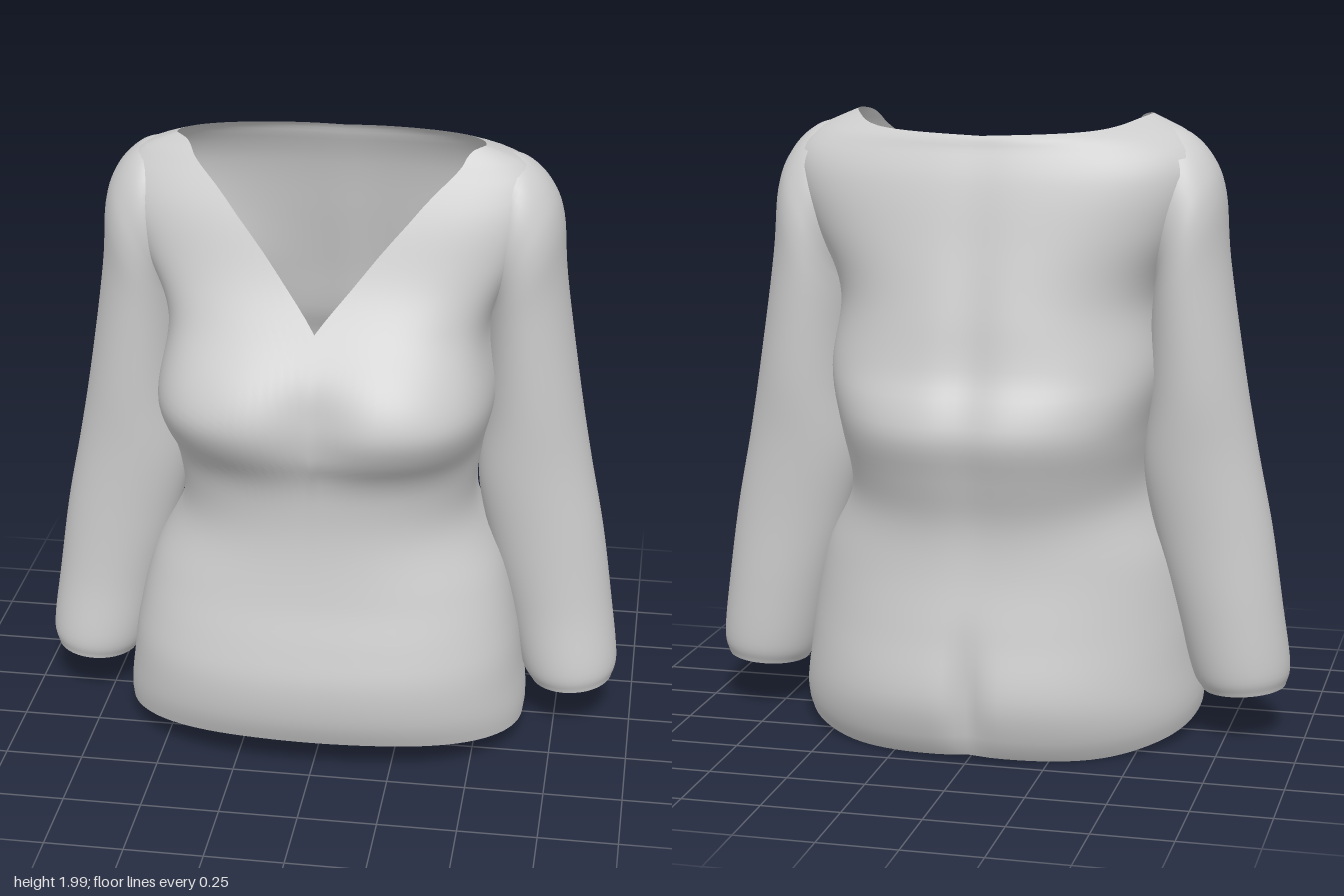
import * as THREE from 'three';

const cloth = new THREE.MeshStandardMaterial({ color: 0xcccccc, side: THREE.DoubleSide });
cloth.name = 'greyCloth';

// Smooth 1D curve through [key, value] pairs (cubic Hermite)
function curve(pts) {
  const slope = i => {
    const a = pts[Math.max(i - 1, 0)], b = pts[Math.min(i + 1, pts.length - 1)];
    return (b[1] - a[1]) / (b[0] - a[0]);
  };
  return k => {
    k = THREE.MathUtils.clamp(k, pts[0][0], pts[pts.length - 1][0]);
    let i = 0;
    while (i < pts.length - 2 && k > pts[i + 1][0]) i++;
    const [k0, v0] = pts[i], [k1, v1] = pts[i + 1], h = k1 - k0, t = (k - k0) / h;
    const t2 = t * t, t3 = t2 * t;
    return (2 * t3 - 3 * t2 + 1) * v0 + (t3 - 2 * t2 + t) * h * slope(i)
      + (3 * t2 - 2 * t3) * v1 + (t3 - t2) * h * slope(i + 1);
  };
}

// Open tube of closed rings: point(angle, t) -> [x, y, z]; faces wholly in the hole are left out
function loft(name, point, sides, rows, inHole, flip = false) {
  const pts = [], idx = [];
  for (let r = 0; r <= rows; r++)
    for (let s = 0; s < sides; s++) pts.push(point(s / sides * Math.PI * 2, r / rows));
  const hidden = pts.map(p => inHole(...p));
  for (let r = 0; r < rows; r++)
    for (let s = 0; s < sides; s++) {
      const n = (s + 1) % sides;
      const a = r * sides + s, b = r * sides + n, c = a + sides, d = b + sides;
      if (hidden[a] && hidden[b] && hidden[c] && hidden[d]) continue;
      if (flip) idx.push(a, c, b, b, c, d);
      else idx.push(a, b, c, b, d, c);
    }
  const g = new THREE.BufferGeometry();
  g.setAttribute('position', new THREE.Float32BufferAttribute(pts.flat(), 3));
  g.setIndex(idx);
  g.computeVertexNormals();
  const mesh = new THREE.Mesh(g, cloth);
  mesh.name = name;
  return mesh;
}

// Body profiles by height
const halfWidth = curve([[0, 0.63], [0.1, 0.655], [0.25, 0.64], [0.4, 0.62], [0.6, 0.57], [0.8, 0.475],
  [1, 0.49], [1.2, 0.53], [1.4, 0.505], [1.5, 0.525], [1.65, 0.6], [1.78, 0.65], [1.88, 0.65],
  [1.94, 0.595], [1.97, 0.535], [2, 0.465]]);
const frontZ = curve([[0, 0.42], [0.1, 0.475], [0.2, 0.515], [0.33, 0.525], [0.45, 0.5], [0.6, 0.46],
  [0.8, 0.43], [0.95, 0.435], [1.03, 0.46], [1.11, 0.515], [1.2, 0.548], [1.28, 0.53], [1.36, 0.48],
  [1.47, 0.38], [1.6, 0.29], [1.8, 0.205], [1.93, 0.14], [2, 0.1]]);
const backZ = curve([[0, -0.45], [0.06, -0.49], [0.2, -0.525], [0.4, -0.49], [0.6, -0.455], [0.75, -0.455],
  [0.9, -0.5], [1.03, -0.54], [1.12, -0.52], [1.22, -0.475], [1.4, -0.435], [1.6, -0.385],
  [1.8, -0.335], [1.9, -0.295], [1.95, -0.265], [2, -0.13]]);
const midZ = curve([[0, 0.07], [0.35, 0.07], [0.6, 0.04], [0.9, 0], [1.3, -0.02], [1.8, -0.02],
  [1.9, -0.01], [2, 0.04]]);
// Squareness of the front and back halves (2 is an ellipse)
const frontPower = curve([[0, 2.5], [0.4, 2.5], [0.95, 2.5], [1.2, 3.2], [1.45, 2.9], [1.8, 3], [2, 2.1]]);
const backPower = curve([[0, 2.2], [0.6, 2.2], [1.03, 2.5], [1.4, 2.3], [1.8, 2.4], [2, 1.9]]);
// Hem and neckline heights by angle from the front, in degrees
const hemY = curve([[0, 0.115], [20, 0.115], [45, 0.1], [90, 0.065], [120, 0.03], [145, 0.005], [180, 0.02]]);
const neckY = curve([[0, 1.48], [10, 1.6], [20, 1.755], [28, 1.865], [38, 1.93], [50, 1.97], [65, 1.99],
  [90, 1.995], [115, 1.985], [145, 1.955], [180, 1.94]]);

const bump = (v, mid, size) => Math.exp(-(((v - mid) / size) ** 2));

function bodyPoint(a, t) {
  const deg = THREE.MathUtils.radToDeg(a > Math.PI ? 2 * Math.PI - a : a);
  const s = Math.sin(a), c = Math.cos(a);
  const y = THREE.MathUtils.lerp(hemY(deg), neckY(deg), 1 - (1 - t) ** 1.3);
  const n = (c > 0 ? frontPower : backPower)(y);
  const r = (Math.abs(s) ** n + Math.abs(c) ** n) ** (-1 / n);
  const x = halfWidth(y) * s * r, mid = midZ(y);
  let z = mid + Math.abs((c > 0 ? frontZ : backZ)(y) - mid) * c * r;
  if (c > 0) {
    // Hollow between the bust lobes
    z -= 0.055 * bump(x, 0, 0.13) * bump(y, 1.22, 0.14);
  } else {
    // Spine groove and seat crease
    z += 0.02 * bump(x, 0, 0.08) * bump(y, 1.2, 0.5);
    z += 0.04 * bump(x, 0, 0.05) * bump(y, 0.2, 0.16);
  }
  return [x, y, z];
}

// Armhole in the bodice, and the matching open inner side of the sleeve
const inArmhole = (x, y, z) => y > 1.46 && y < 1.88
  && ((Math.abs(x) - 0.615) / 0.1) ** 2 + ((z + 0.03) / 0.15) ** 2 < 1;
function inBody(x, y, z) {
  const mid = midZ(y), front = z > mid, n = (front ? frontPower : backPower)(y);
  const depth = Math.abs((front ? frontZ : backZ)(y) - mid);
  return y > 1.46 && y < 1.97
    && (Math.abs(x) / halfWidth(y)) ** n + (Math.abs(z - mid) / depth) ** n < 0.92;
}

// Sleeve rings: outer x, y, inner x, y, centre z, half depth
const rings = [
  [0.51, 1.968, 0.50, 1.54, -0.02, 0.13],
  [0.60, 1.943, 0.505, 1.50, -0.02, 0.175],
  [0.675, 1.87, 0.505, 1.46, -0.025, 0.19],
  [0.718, 1.76, 0.50, 1.42, -0.03, 0.195],
  [0.737, 1.55, 0.495, 1.33, -0.035, 0.19],
  [0.79, 1.2, 0.49, 1.1, -0.035, 0.178],
  [0.835, 0.95, 0.475, 0.88, -0.03, 0.162],
  [0.885, 0.7, 0.52, 0.65, -0.025, 0.152],
  [0.922, 0.45, 0.585, 0.42, -0.02, 0.152],
  [0.948, 0.25, 0.635, 0.225, -0.005, 0.158],
  [0.935, 0.178, 0.67, 0.16, 0, 0.14],
];
const ringCurves = rings[0].map((_, k) => curve(rings.map((r, i) => [i, r[k]])));

function sleeve(name, side) {
  return loft(name, (a, t) => {
    const [ox, oy, ix, iy, cz, rz] = ringCurves.map(f => f(t * (rings.length - 1)));
    const m = (1 + Math.cos(a)) / 2;
    return [side * (ix + (ox - ix) * m), iy + (oy - iy) * m, cz + rz * Math.sin(a)];
  }, 40, 60, inBody, side < 0);
}

export function createModel() {
  const group = new THREE.Group();
  group.name = 'blouse';
  group.add(loft('bodice', bodyPoint, 112, 72, inArmhole));
  group.add(sleeve('leftSleeve', 1), sleeve('rightSleeve', -1));
  return group;
}
